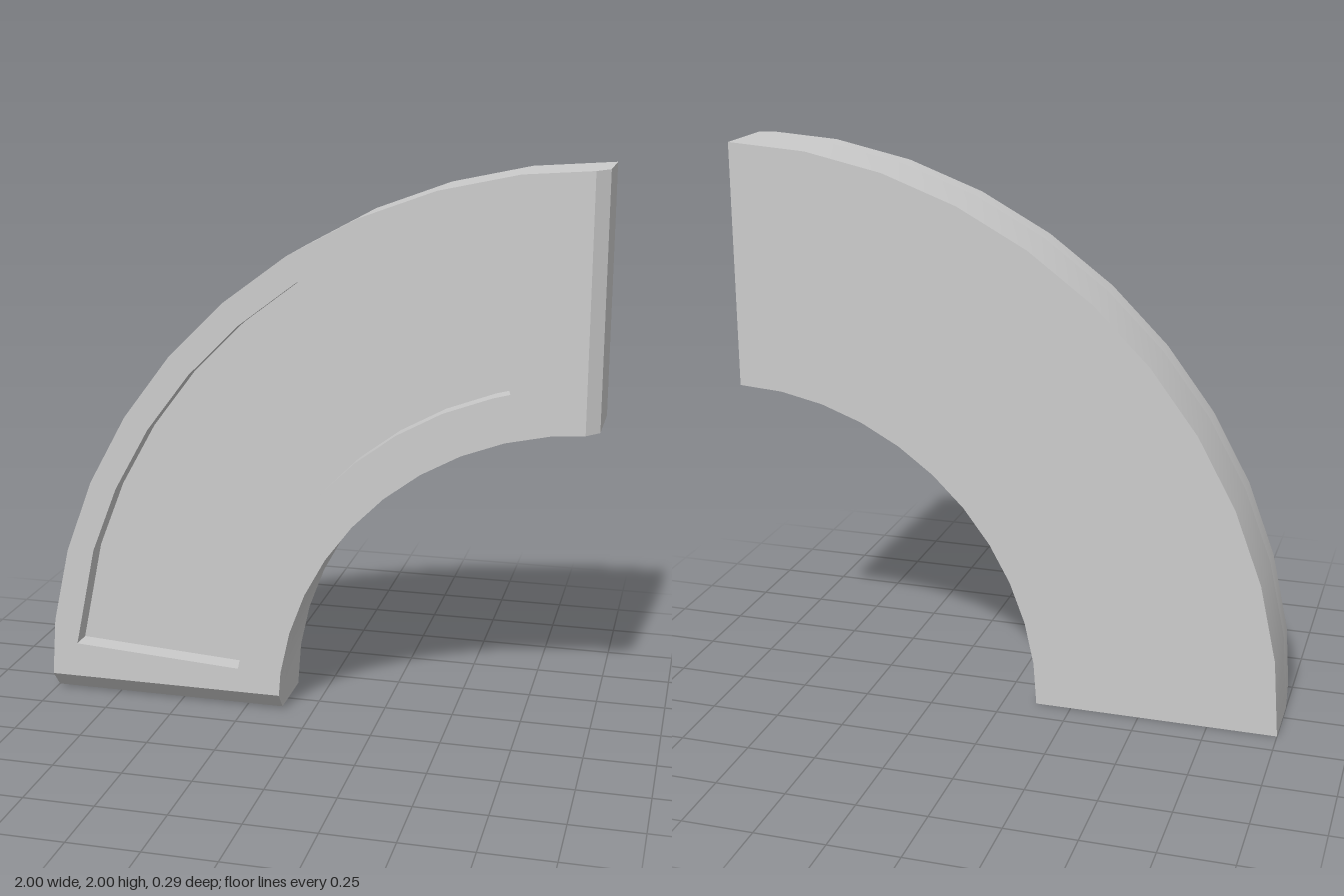
import * as THREE from 'three';
import { toCreasedNormals } from 'three/addons/utils/BufferGeometryUtils.js';

const SEGMENTS = 11;
const STEP = 90 / SEGMENTS;
const HALF = 0.147;      // half thickness
const FLOOR = 0.07;      // z of the recess floor
const OUTER = 2, INNER = 1.12;

// point on an arc about (1, 0), 0 degrees pointing to -x
function arcPoint(radius, degrees) {
  const a = THREE.MathUtils.degToRad(degrees);
  return new THREE.Vector2(1 - radius * Math.cos(a), radius * Math.sin(a));
}

// closed clockwise ring sector from lists of outer and inner angles
function sectorPoints(outerR, outerAngles, innerR, innerAngles) {
  return [
    ...outerAngles.map((d) => arcPoint(outerR, d)),
    ...innerAngles.map((d) => arcPoint(innerR, d)).reverse(),
  ];
}

// count angles in equal steps
const angleList = (start, step, count) => Array.from({ length: count }, (_, i) => start + i * step);

// slab between two z values
function slab(shape, z0, z1, steps) {
  const geometry = new THREE.ExtrudeGeometry(shape, { depth: z1 - z0, steps, bevelEnabled: false });
  return geometry.translate(0, 0, z0);
}

// bevel the front edges of the two straight ends
function bevelEnds(geometry) {
  const p = geometry.attributes.position;
  const slope = Math.tan(THREE.MathUtils.degToRad(STEP / 2));
  const middle = (FLOOR + HALF) / 2;
  for (let i = 0; i < p.count; i++) {
    const x = p.getX(i), y = p.getY(i), z = p.getZ(i);
    const front = z > HALF - 0.001;
    const mid = Math.abs(z - middle) < 0.001;
    if (y < 0.001) {
      if (front) p.setXY(i, x + 0.07 * slope, 0.07);
      if (mid) p.setZ(i, 0.08);
    } else if (x > 0.999) {
      if (front) p.setXY(i, 0.955, y - 0.045 * slope);
      if (mid) p.setZ(i, 0.105);
    }
  }
  return geometry;
}

export function createModel() {
  const group = new THREE.Group();
  group.name = 'curvedBlock';
  const material = new THREE.MeshStandardMaterial({ color: 0xcccccc });

  const add = (name, geometry) => {
    const mesh = new THREE.Mesh(toCreasedNormals(geometry, 0.5), material);
    mesh.name = name;
    group.add(mesh);
  };

  // quarter-ring outline
  const angles = angleList(0, STEP, SEGMENTS + 1);
  const outline = sectorPoints(OUTER, angles, INNER, angles);

  // recess outline, wound against the outer outline so its walls face inward
  const recess = sectorPoints(
    1.905, [6, ...angleList(17.4, 7.85, 8), 75.6],
    1.28, [7.2, ...angleList(2 * STEP, STEP, 8), 76.4],
  ).reverse();

  // solid back, its front face is the recess floor
  add('backPlate', slab(new THREE.Shape(outline), -HALF, FLOOR, 1));

  // raised rim around the recess, bevelled at both ends
  const rim = new THREE.Shape(outline);
  rim.holes.push(new THREE.Path(recess));
  add('frontRim', bevelEnds(slab(rim, FLOOR, HALF, 2)));

  return group;
}
